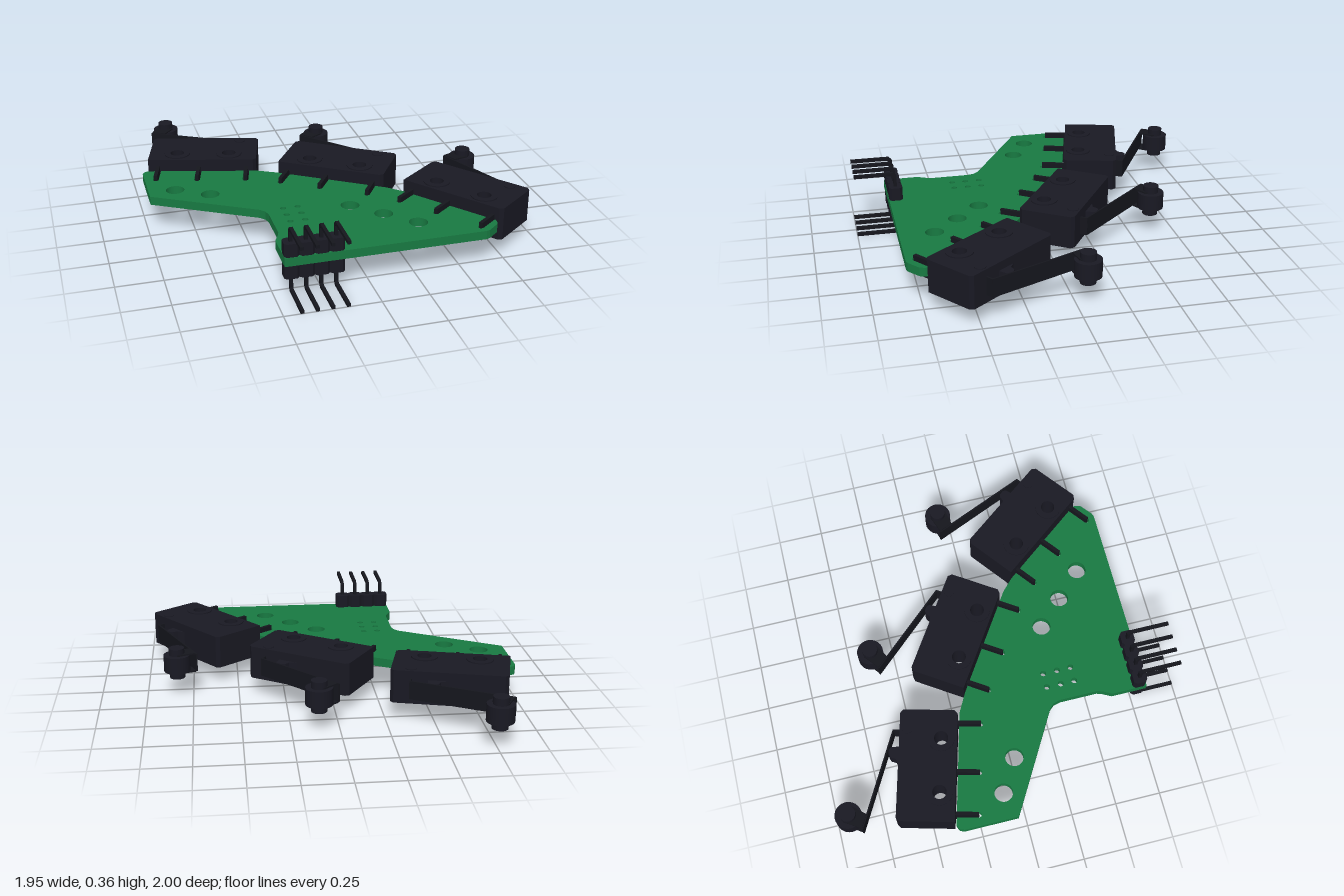
import * as THREE from 'three';

const mat = (name, color) => Object.assign(new THREE.MeshStandardMaterial({ color }), { name });
const MID = 0.188; // height of the board's middle plane

// Switch placements: centre x, centre z, angle in degrees, end of the board edge beside it
const SWITCHES = [
  [-0.606, -0.459, 15, 0.31],
  [0.104, -0.13, 33.6, 0.33],
  [0.674, 0.398, 52.4, 0.27],
];
const PIN_U = [-0.25, -0.02, 0.25];

export function createModel() {
  const green = mat('board green', 0x187a42);
  const black = mat('switch black', 0x191923);
  const dark = mat('metal black', 0x15161d);
  const model = new THREE.Group();

  const add = (parent, name, geo, material) => {
    const m = new THREE.Mesh(geo, material);
    m.name = name;
    parent.add(m);
    return m;
  };
  const circle = (x, z, r) => new THREE.Path().absarc(x, -z, r, 0, Math.PI * 2, false);

  // Flat slab from (x, z) outline points, between two heights
  const slab = (pts, y0, y1, holes = []) => {
    const s = new THREE.Shape(pts.map(([x, z]) => new THREE.Vector2(x, -z)));
    s.holes.push(...holes);
    const g = new THREE.ExtrudeGeometry(s, { depth: y1 - y0, bevelEnabled: false, curveSegments: 20 });
    return g.rotateX(-Math.PI / 2).translate(0, y0, 0);
  };
  const ring = (x, z, r) => Array.from({ length: 20 }, (_, i) => {
    const a = (i / 20) * Math.PI * 2;
    return [x + r * Math.cos(a), z + r * Math.sin(a)];
  });

  // Board outline, with a slot for every switch pin
  const outline = [[-0.98, -0.05], [-0.98, -0.345], [-0.97, -0.37]];
  for (const [cx, cz, deg, end] of SWITCHES) {
    const a = THREE.MathUtils.degToRad(deg);
    const put = (u, v) => outline.push([
      cx + u * Math.cos(a) - v * Math.sin(a), cz + u * Math.sin(a) + v * Math.cos(a)]);
    put(-0.308, 0.163);
    for (const u of PIN_U) {
      put(u - 0.016, 0.163);
      put(u - 0.016, 0.281);
      put(u - 0.008, 0.293);
      put(u + 0.008, 0.293);
      put(u + 0.016, 0.281);
      put(u + 0.016, 0.163);
    }
    put(end, 0.163);
  }
  outline.push([0.712, 0.73], [0.702, 0.758], [0.64, 0.808], [0.62, 0.815], [-0.445, 0.815],
    [-0.445, 0.62], [-0.418, 0.567], [-0.41, 0.542], [-0.41, 0.333], [-0.42, 0.293], [-0.445, 0.265]);

  const holes = [[-0.836, -0.097], [-0.661, 0.007], [0.032, 0.343], [0.174, 0.484], [0.316, 0.627]]
    .map(([x, z]) => circle(x, z, 0.05));
  for (const x of [-0.32, -0.24]) for (const z of [0.28, 0.359, 0.436]) holes.push(circle(x, z, 0.016));
  add(model, 'board', slab(outline, MID - 0.024, MID + 0.024, holes), green);

  // Lever switches
  SWITCHES.forEach(([cx, cz, deg]) => {
    const sw = new THREE.Group();
    sw.name = 'leverSwitch';
    sw.position.set(cx, 0, cz);
    sw.rotation.y = -THREE.MathUtils.degToRad(deg);
    model.add(sw);

    const W = 0.305, D = 0.155, c = 0.018;
    const body = [[-W + c, -D], [W - c, -D], [W, -D + c], [W, D - c], [W - c, D], [-W, D], [-W, -D + c]];
    const mounts = [[-0.147, 0.07], [0.147, 0.07]];
    add(sw, 'switchBody', slab(body, 0.097, 0.278, mounts.map(([x, z]) => circle(x, z, 0.038))), black);
    for (const [x, z] of mounts) {
      for (const [y0, y1] of [[0.278, 0.284], [0.091, 0.097]]) {
        add(sw, 'mountingBoss', slab(ring(x, z, 0.072), y0, y1, [circle(x, z, 0.038)]), black);
      }
    }
    add(sw, 'pivotPin', new THREE.CylinderGeometry(0.03, 0.03, 0.187, 16).translate(0.2, MID, -0.115), black);

    // Plunger under the lever
    add(sw, 'plunger', slab([[-0.01, -0.15], [0.04, -0.172], [0.048, -0.2], [0.065, -0.212],
      [0.09, -0.212], [0.105, -0.2], [0.11, -0.15]], MID - 0.045, MID + 0.045), black);

    // Connection pins
    for (const u of PIN_U) {
      add(sw, 'switchPin', new THREE.BoxGeometry(0.02, 0.1, 0.135).translate(u, MID, 0.2135), dark);
    }

    // Bent lever strip with the roller fork at its end
    const strip = ([u0, v0], [u1, v1], h) => {
      const g = new THREE.BoxGeometry(Math.hypot(u1 - u0, v1 - v0) + 0.008, h, 0.009);
      g.rotateY(-Math.atan2(v1 - v0, u1 - u0));
      add(sw, 'lever', g.translate((u0 + u1) / 2, MID, (v0 + v1) / 2), dark);
    };
    strip([0.197, -0.14], [0.197, -0.192], 0.1);
    strip([0.197, -0.192], [-0.34, -0.33], 0.1);
    for (const y of [MID - 0.055, MID + 0.047]) {
      add(sw, 'rollerFork', slab([[-0.34, -0.333], [-0.262, -0.313], [-0.225, -0.39], [-0.235, -0.43],
        [-0.27, -0.452], [-0.31, -0.43], [-0.318, -0.40]], y, y + 0.008), dark);
    }
    add(sw, 'roller', new THREE.CylinderGeometry(0.072, 0.072, 0.092, 24).translate(-0.27, MID, -0.41), black);
    add(sw, 'rollerAxle', new THREE.CylinderGeometry(0.042, 0.042, 0.17, 20).translate(-0.27, MID, -0.41), black);
  });

  // Pin headers above and below the board, with bent pins
  const pinShape = new THREE.Shape([[1, 0.366], [0.785, 0.366], [0.767, 0.348], [0.767, 0.02], [0.785, 0.002],
    [1, 0.002], [1, 0.02], [0.793, 0.02], [0.785, 0.028], [0.785, 0.34], [0.793, 0.348], [1, 0.348]]
    .map(([z, y]) => new THREE.Vector2(-z, y)));
  for (const x of [-0.405, -0.327, -0.249, -0.171]) {
    const pin = new THREE.ExtrudeGeometry(pinShape, { depth: 0.018, bevelEnabled: false });
    add(model, 'headerPin', pin.rotateY(Math.PI / 2).translate(x - 0.009, 0, 0), dark);
    const w = 0.039, d = 0.037, c = 0.014;
    const block = [[-w + c, -d], [w - c, -d], [w, -d + c], [w, d - c], [w - c, d], [-w + c, d], [-w, d - c], [-w, -d + c]]
      .map(([u, v]) => [x + u, 0.776 + v]);
    add(model, 'headerBlock', slab(block, MID + 0.024, 0.285), black);
    add(model, 'headerBlock', slab(block, 0.09, MID - 0.024), black);
  }
  return model;
}
